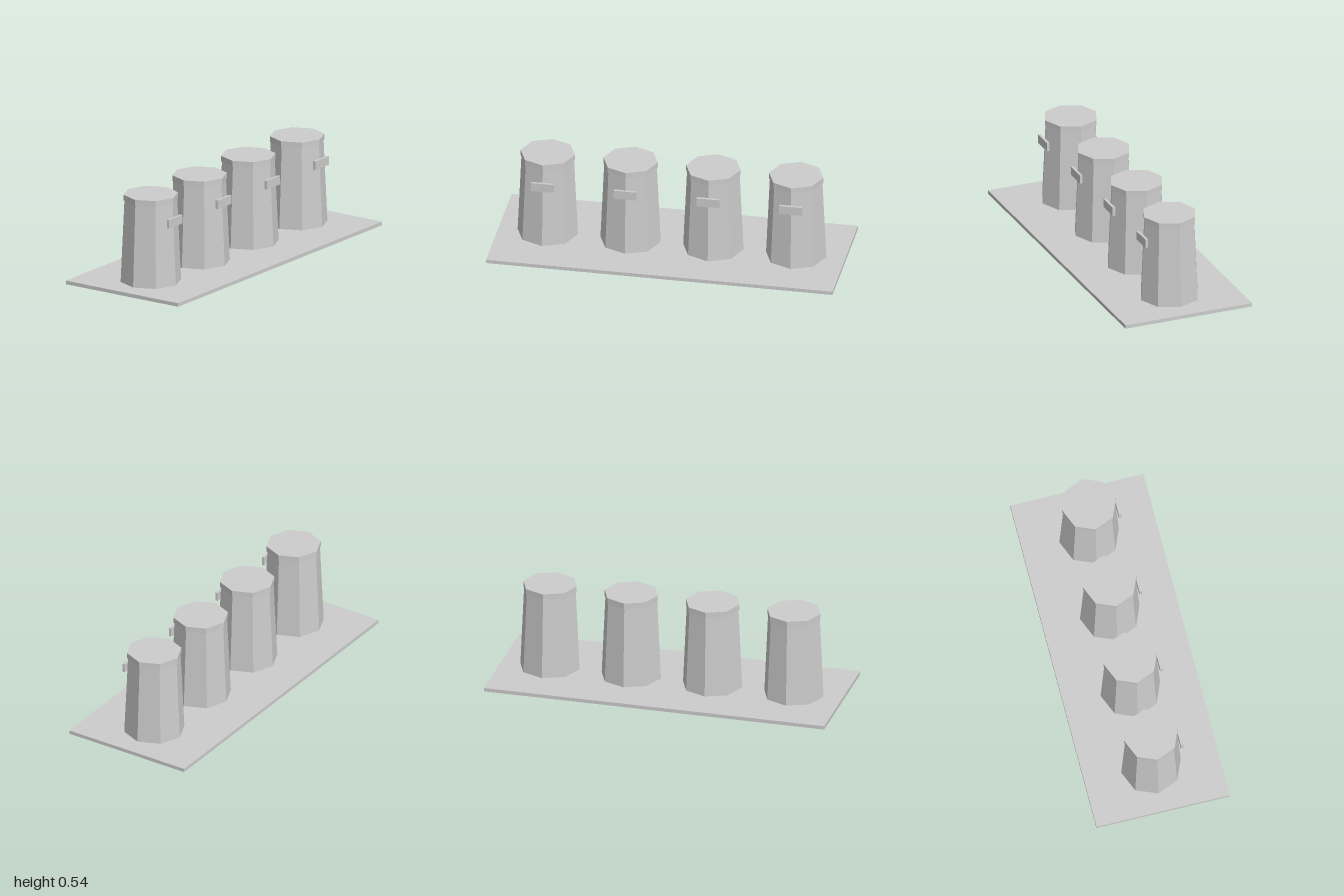
import * as THREE from 'three';

export function createModel() {
  const model = new THREE.Group();
  model.name = 'canisterSet';
  const grey = new THREE.MeshStandardMaterial({ color: 0xcccccc, flatShading: true });
  grey.name = 'light grey';

  const add = (parent, name, geometry, x, y, z) => {
    const mesh = new THREE.Mesh(geometry, grey);
    mesh.name = name;
    mesh.position.set(x, y, z);
    parent.add(mesh);
  };

  // Thin base tray
  const baseTop = 0.021, bodyTop = 0.502, lidTop = 0.535;
  add(model, 'base', new THREE.BoxGeometry(2, baseTop, 0.78), 0, baseTop / 2, 0);

  // Shared parts: tapered octagonal body, straight lid, raised front plate
  const bodyHeight = bodyTop - baseTop, lidHeight = lidTop - bodyTop;
  const body = new THREE.CylinderGeometry(0.152, 0.174, bodyHeight, 8);
  const lid = new THREE.CylinderGeometry(0.157, 0.157, lidHeight, 8);
  const plate = new THREE.BoxGeometry(0.13, 0.051, 0.016);

  // Four identical canisters in a row
  for (let i = 0; i < 4; i++) {
    const canister = new THREE.Group();
    canister.name = 'canister' + (i + 1);
    canister.position.x = (i - 1.5) * 0.478;
    add(canister, 'body', body, 0, baseTop + bodyHeight / 2, 0);
    add(canister, 'lid', lid, 0, bodyTop + lidHeight / 2, 0);
    add(canister, 'frontPlate', plate, 0, 0.398, 0.166);
    model.add(canister);
  }
  return model;
}
